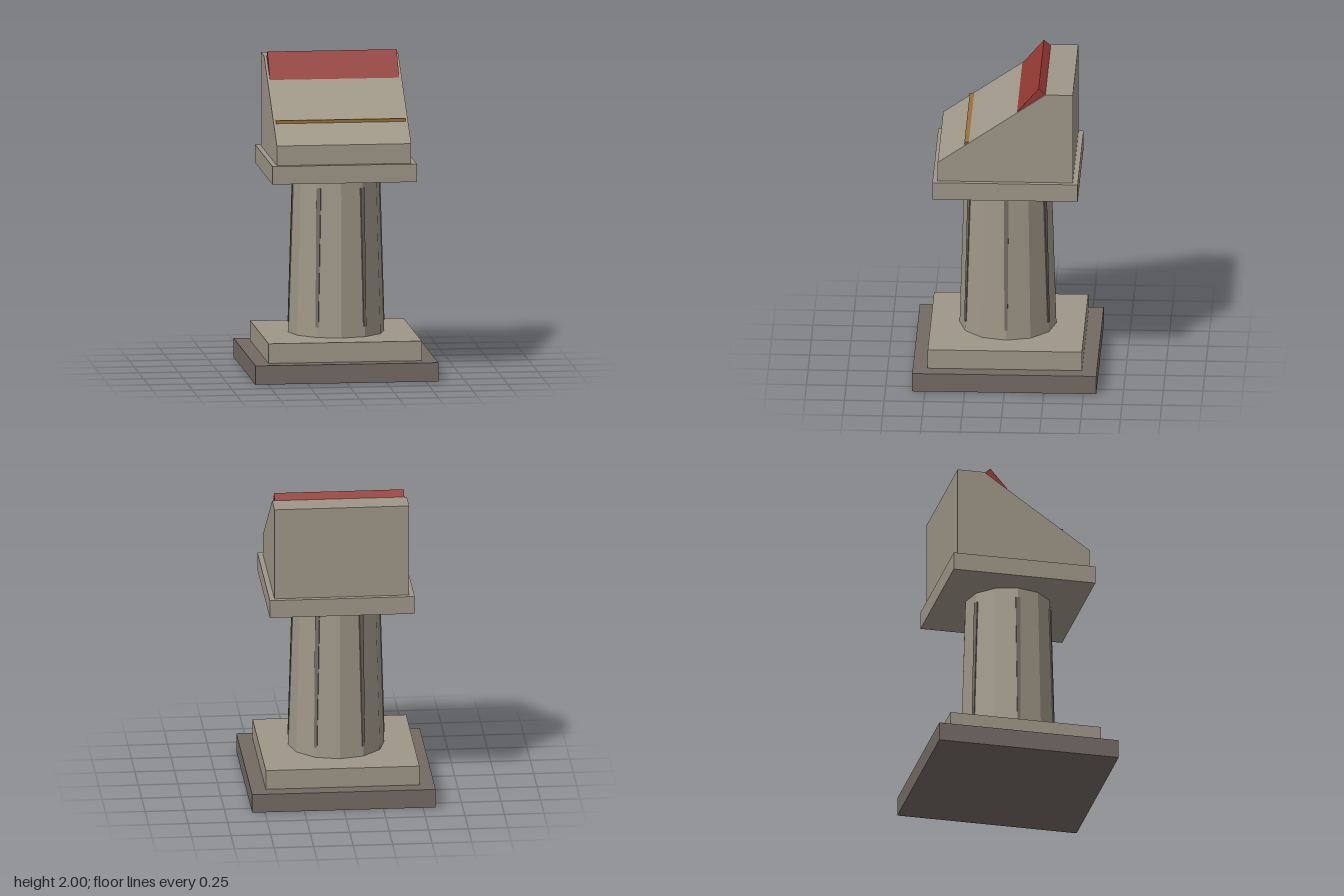
import * as THREE from 'three';

export function createModel() {
  const group = new THREE.Group();
  const stone = new THREE.MeshStandardMaterial({ color: 0x9f9788 });
  stone.name = 'pale stone';
  const darkStone = new THREE.MeshStandardMaterial({ color: 0x746a64 });
  darkStone.name = 'dark stone';
  const red = new THREE.MeshStandardMaterial({ color: 0x923832 });
  red.name = 'red';
  const brass = new THREE.MeshStandardMaterial({ color: 0x9a7238 });
  brass.name = 'brass';

  function add(name, geometry, material, parent = group) {
    const mesh = new THREE.Mesh(geometry, material);
    mesh.name = name;
    parent.add(mesh);
    return mesh;
  }

  // Square slab between two heights
  function slab(name, half, y0, y1, material) {
    add(name, new THREE.BoxGeometry(half * 2, y1 - y0, half * 2), material).position.y = (y0 + y1) / 2;
  }
  slab('basePlinth', 0.58, 0, 0.12, darkStone);
  slab('baseStep', 0.486, 0.12, 0.245, stone);
  slab('capital', 0.458, 1.255, 1.37, stone);

  // Faceted, tapering column
  const rTop = 0.275, rBottom = 0.305, y0 = 0.245, y1 = 1.255;
  const shaft = new THREE.CylinderGeometry(rTop, rBottom, y1 - y0, 12).toNonIndexed();
  shaft.computeVertexNormals();
  add('column', shaft, stone).position.y = (y0 + y1) / 2;

  // Six slim dark strips on alternate corners, leaning with the column
  const stripGeometry = new THREE.BoxGeometry(0.03, 0.88, 0.03);
  const p = stripGeometry.attributes.position;
  for (let i = 0; i < p.count; i++) if (p.getY(i) < 0) p.setZ(i, p.getZ(i) * 0.65);
  stripGeometry.computeVertexNormals();
  for (let i = 0; i < 6; i++) {
    const pivot = new THREE.Group();
    pivot.name = 'columnStrip';
    pivot.rotation.y = (i * Math.PI) / 3;
    group.add(pivot);
    const strip = add('strip', stripGeometry, darkStone, pivot);
    strip.position.set((rTop + rBottom) / 2 + 0.003 - 0.015, 0.75, 0);
    strip.rotation.z = Math.atan((rBottom - rTop) / (y1 - y0));
  }

  // Sloped desk: side profile (z, y) swept across x
  const profile = new THREE.Shape([
    [0.426, 1.37], [0.426, 1.495], [-0.255, 1.965], [-0.426, 1.965], [-0.426, 1.37],
  ].map(([z, y]) => new THREE.Vector2(-z, y)));
  const desk = new THREE.ExtrudeGeometry(profile, { depth: 0.852, bevelEnabled: false });
  desk.translate(0, 0, -0.426);
  desk.rotateY(Math.PI / 2);
  add('slopedDesk', desk, stone);

  // Tilted red panel, partly sunk into the desk's upper edge
  const panelGeometry = new THREE.BoxGeometry(0.82, 0.08, 0.3);
  panelGeometry.translate(0, -0.04, 0.15);
  const panel = add('redPanel', panelGeometry, red);
  panel.position.set(0, 2, -0.21);
  panel.rotation.x = 0.865;

  // Narrow brass ledge across the slope
  add('brassLedge', new THREE.BoxGeometry(0.82, 0.05, 0.033), brass).position.set(0, 1.605, 0.2415);

  return group;
}
